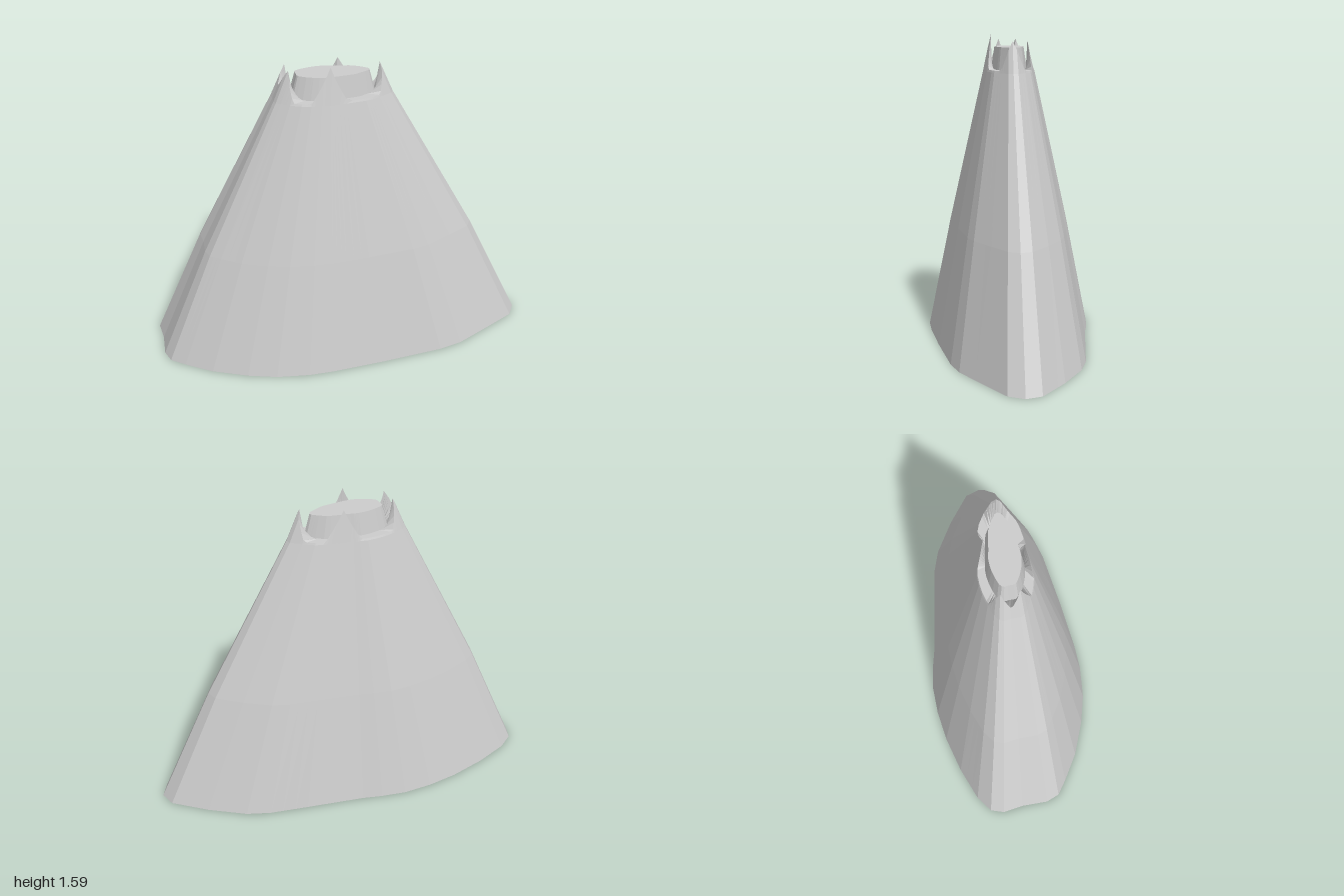
import * as THREE from 'three';

// Footprint of the mountain, counter-clockwise seen from above (x, z)
const FOOT = [
  [1, -0.01], [0.97, -0.09], [0.8, -0.21], [0.62, -0.31], [0.5, -0.345], [0.3, -0.37],
  [0.17, -0.385], [0, -0.405], [-0.1, -0.425], [-0.23, -0.44], [-0.38, -0.43], [-0.54, -0.4],
  [-0.73, -0.34], [-0.9, -0.265], [-0.98, -0.2], [-1, -0.13], [-0.98, -0.02], [-0.975, 0.12],
  [-0.945, 0.19], [-0.87, 0.24], [-0.73, 0.32], [-0.55, 0.385], [-0.4, 0.42], [-0.23, 0.43],
  [-0.1, 0.42], [0, 0.405], [0.17, 0.38], [0.5, 0.32], [0.62, 0.28], [0.8, 0.17], [0.96, 0.07],
];

// Jagged teeth of the crater: footprint position and height above the neck
const TEETH = [
  [1, -0.01, 0.16], [0.17, -0.385, 0.16], [-0.98, -0.2, 0.16], [-0.945, 0.19, 0.16], [-0.1, 0.42, 0.185],
];

const NECK = 1.4;

// Outline with each edge split so that the teeth have enough points
function fineOutline(splits) {
  const out = [];
  FOOT.forEach(([x, z], i) => {
    const [nx, nz] = FOOT[(i + 1) % FOOT.length];
    for (let s = 0; s < splits; s++) {
      const t = s / splits;
      out.push([x + (nx - x) * t, z + (nz - z) * t]);
    }
  });
  return out;
}

// Footprint scaled about a shifted centre at a given height
const ring = (outline, y, sx, sz, shift) =>
  outline.map(([x, z]) => new THREE.Vector3(x * sx + shift, y, z * sz));

// Crater edge: follows the slope of the mountain up to each tooth
function toothRing(outline) {
  return outline.map(([x, z]) => {
    let h = 0.01;
    for (const [tx, tz, th] of TEETH) {
      h = Math.max(h, th * (1 - Math.hypot(x - tx, z - tz) / 0.32));
    }
    const s = 0.305 - 0.43 * h;
    return new THREE.Vector3(x * s - 0.04, NECK + h, z * s);
  });
}

// Skin between successive rings, optionally closed by a flat lid
function loft(rings, lid = false) {
  const pos = [];
  const tri = (...pts) => pts.forEach((p) => pos.push(p.x, p.y, p.z));
  const n = rings[0].length;
  for (let r = 0; r < rings.length - 1; r++) {
    for (let i = 0; i < n; i++) {
      const j = (i + 1) % n;
      const a = rings[r], b = rings[r + 1];
      tri(a[i], a[j], b[j]);
      tri(a[i], b[j], b[i]);
    }
  }
  if (lid) {
    const top = rings[rings.length - 1];
    const c = new THREE.Vector3(-0.04, top[0].y, 0);
    top.forEach((p, i) => tri(p, top[(i + 1) % n], c));
  }
  const g = new THREE.BufferGeometry();
  g.setAttribute('position', new THREE.Float32BufferAttribute(pos, 3));
  g.computeVertexNormals();
  return g;
}

export function createModel() {
  const group = new THREE.Group();
  group.name = 'mountain';
  const rock = new THREE.MeshStandardMaterial({ color: 0xcccccc, side: THREE.DoubleSide, flatShading: true });
  rock.name = 'grey rock';

  const add = (name, geometry) => {
    const mesh = new THREE.Mesh(geometry, rock);
    mesh.name = name;
    group.add(mesh);
  };

  const outline = fineOutline(3);
  const neck = ring(outline, NECK, 0.305, 0.31, -0.04);
  const teeth = toothRing(outline);
  const collarFoot = ring(outline, NECK + 0.01, 0.215, 0.215, -0.04);
  const collarTop = ring(outline, 1.525, 0.185, 0.175, -0.04);

  // Hollow slopes, open underneath
  add('slopes', loft([
    ring(outline, 0, 1, 1, 0),
    ring(outline, 0.6, 0.725, 0.72, -0.015),
    neck,
  ]));
  // Jagged crater edge with its inner faces
  add('craterTeeth', loft([neck, teeth, collarFoot]));
  // Steep plug with a flat top inside the crater
  add('craterPlug', loft([collarFoot, collarTop], true));

  return group;
}
